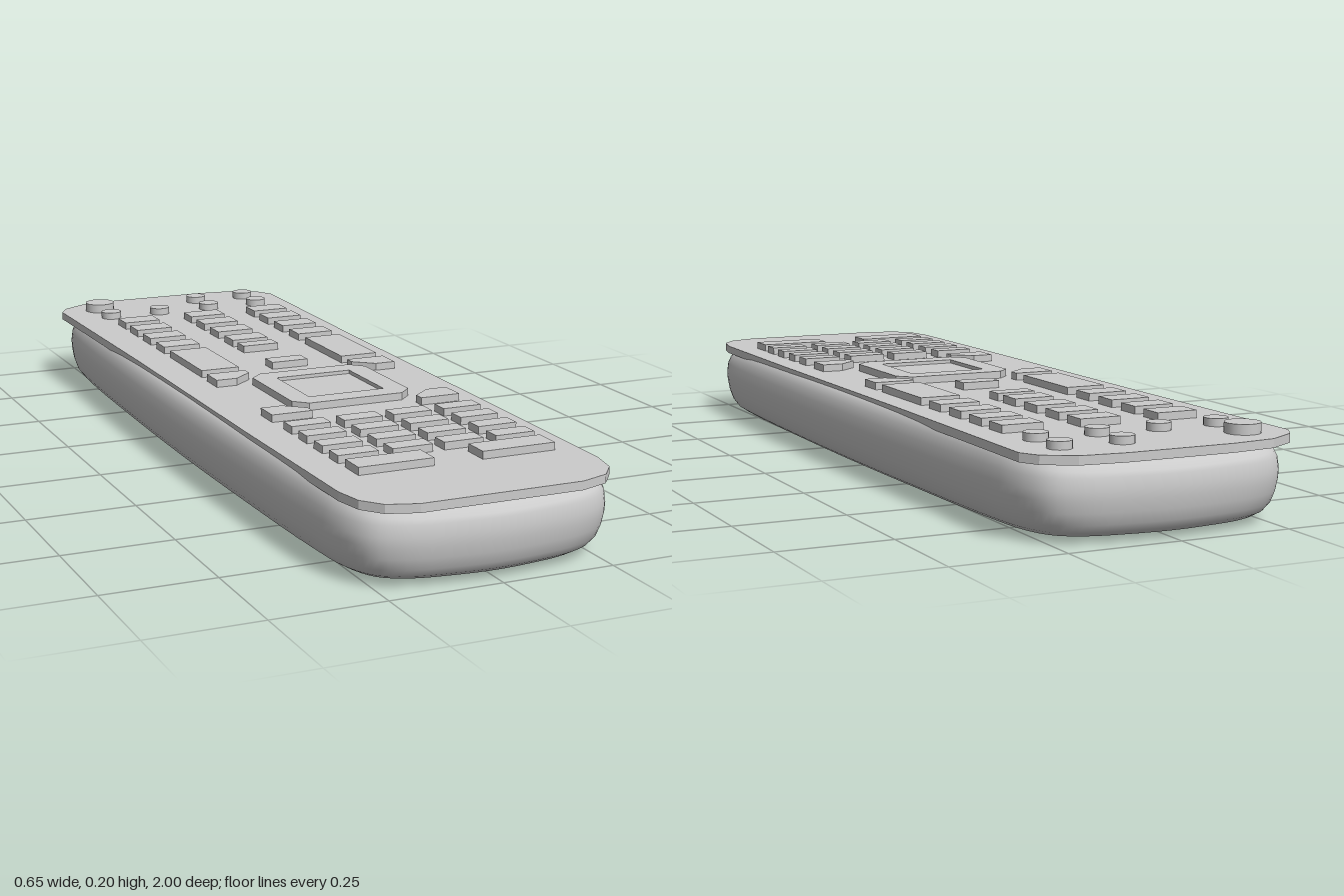
import * as THREE from 'three';

const material = new THREE.MeshStandardMaterial({ color: 0xcccccc });
const PLATE_TOP = 0.183, KEY_TOP = 0.2;

// Mirrors a +x half outline (front to back) into a closed list of points
const mirrorX = half => [...half, ...half.slice().reverse().map(([x, z]) => [-x, z])];

// Slab with an (x, z) outline between two heights
function slab(name, points, bottom, top) {
  const shape = new THREE.Shape(points.map(([x, z]) => new THREE.Vector2(x, z)));
  const geometry = new THREE.ExtrudeGeometry(shape, { depth: top - bottom, bevelEnabled: false });
  geometry.rotateX(Math.PI / 2);
  geometry.translate(0, top, 0);
  const mesh = new THREE.Mesh(geometry, material);
  mesh.name = name;
  return mesh;
}

// Rounded shell: one bowed outline, shrunk at each height
function makeBody() {
  const q = [[0.325, 0], [0.32, 0.4], [0.309, 0.74], [0.295, 0.87], [0.262, 0.94], [0.2, 0.975], [0.1, 0.993], [0, 1]];
  const front = [...q, ...q.slice(1, -1).reverse().map(([x, z]) => [-x, z])];
  const outline = [...front, ...front.map(([x, z]) => [-x, -z])];
  const curve = new THREE.CatmullRomCurve3(outline.map(([x, z]) => new THREE.Vector3(x, 0, z)), true);
  const N = 112;
  // [inset, height] from the underside centre to the top centre
  const profile = [[0.325, 0], [0.12, 0.003], [0.06, 0.008], [0.04, 0.013], [0.025, 0.023], [0.013, 0.04],
    [0.005, 0.065], [0.001, 0.09], [0, 0.11], [0.003, 0.135], [0.009, 0.155], [0.018, 0.169], [0.03, 0.177], [0.325, 0.178]];
  const ring = Array.from({ length: N }, (_, j) => curve.getPoint(j / N));
  const positions = [], index = [];
  profile.forEach(([inset, y], i) => ring.forEach((p, j) => {
    const drop = y > 0.14 ? 0.012 * Math.abs(p.z) ** 8 : 0;
    positions.push(p.x * (1 - inset / 0.325), y - drop, p.z * Math.max(0, inset > 0.3 ? 0 : 1 - inset));
    if (i < profile.length - 1) {
      const a = i * N + j, b = i * N + (j + 1) % N;
      index.push(a, a + N, b, b, a + N, b + N);
    }
  }));
  const geometry = new THREE.BufferGeometry();
  geometry.setAttribute('position', new THREE.Float32BufferAttribute(positions, 3));
  geometry.setIndex(index);
  geometry.computeVertexNormals();
  const mesh = new THREE.Mesh(geometry, material);
  mesh.name = 'body';
  return mesh;
}

export function createModel() {
  const model = new THREE.Group();
  model.name = 'remoteControl';
  model.add(makeBody());

  // Face plate with clipped corners
  model.add(slab('facePlate', mirrorX([
    [0.18, 0.99], [0.245, 0.968], [0.28, 0.925], [0.293, 0.86], [0.298, 0.4], [0.3, -0.3],
    [0.308, -0.905], [0.285, -0.945], [0.22, -0.983], [0.12, -0.994],
  ]), 0.164, PLATE_TOP));

  const keys = new THREE.Group();
  keys.name = 'keys';
  model.add(keys);
  const base = PLATE_TOP - 0.004;
  const key = (name, x, z, w, d) => keys.add(slab(name, [
    [x - w / 2, z - d / 2], [x + w / 2, z - d / 2], [x + w / 2, z + d / 2], [x - w / 2, z + d / 2],
  ], base, KEY_TOP));
  const roundKey = (name, x, z, r, top) => {
    const mesh = new THREE.Mesh(new THREE.CylinderGeometry(r, r, top - base, 24), material);
    mesh.position.set(x, (top + base) / 2, z);
    mesh.name = name;
    keys.add(mesh);
  };

  // Round keys at the back end
  roundKey('powerKey', -0.205, -0.893, 0.038, 0.205);
  for (const x of [0.075, 0.214]) roundKey('roundKey', x, -0.893, 0.026, KEY_TOP);
  for (const x of [-0.205, -0.068, 0.075, 0.214]) roundKey('roundKey', x, -0.793, 0.026, KEY_TOP);

  // Three columns of number keys
  for (const z of [-0.67, -0.575, -0.475, -0.373])
    for (const x of [-0.169, 0.015, 0.195]) key('numberKey', x, z, 0.094, 0.06);

  // Rocker keys and small middle keys
  for (const x of [-0.169, 0.195]) key('rockerKey', x, -0.191, 0.094, 0.22);
  key('smallKey', 0.015, -0.294, 0.092, 0.042);
  key('smallKey', 0.015, -0.112, 0.092, 0.046);

  // Clipped keys at the four corners of the direction pad
  const cx = 0.013, cz = 0.152;
  for (const sx of [-1, 1]) for (const sz of [-1, 1])
    keys.add(slab('cornerKey', [[0.23, 0.133], [0.18, 0.133], [0.134, 0.172], [0.134, 0.198], [0.23, 0.198]]
      .map(([x, z]) => [cx + sx * x, cz + sz * z]), base, KEY_TOP));

  // Direction pad: four mitred bars around a lower square key
  const pz = 0.146;
  for (let i = 0; i < 4; i++) {
    const c = Math.round(Math.cos(i * Math.PI / 2)), s = Math.round(Math.sin(i * Math.PI / 2));
    keys.add(slab('directionKey', [[-0.115, 0.145], [-0.13, 0.13], [-0.093, 0.093], [0.093, 0.093], [0.13, 0.13], [0.115, 0.145]]
      .map(([x, z]) => [cx + x * c - z * s, pz + x * s + z * c]), base, KEY_TOP));
  }
  keys.add(slab('selectKey', [[-1, -1], [1, -1], [1, 1], [-1, 1]]
    .map(([x, z]) => [cx + x * 0.092, pz + z * 0.092]), base, 0.192));

  // Lower key block and the two wide keys
  for (const z of [0.431, 0.51, 0.59, 0.667])
    for (const x of [-0.169, -0.045, 0.074, 0.196]) key('lowerKey', x, z, 0.092, 0.044);
  for (const x of [-0.127, 0.154]) key('wideKey', x, 0.748, 0.17, 0.063);

  return model;
}
